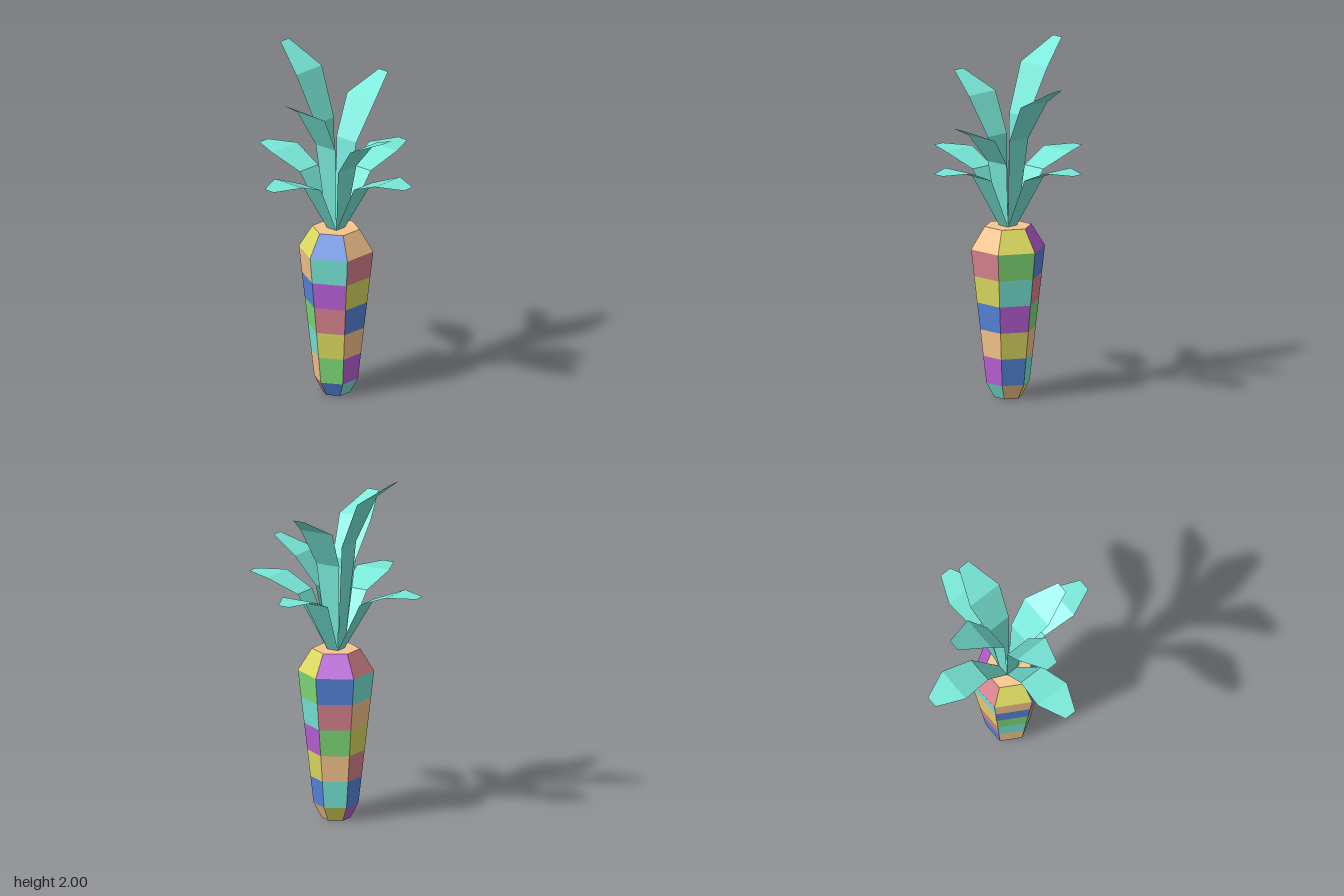
import * as THREE from 'three';

const TEAL = 0x78e8d8;
const COLORS = {
  T: TEAL, O: 0xf8c68c, Y: 0xdedc60, B: 0x5686dc, P: 0xba60d8, G: 0x80dc78, R: 0xd98490,
};

const materials = {};
for (const key in COLORS) {
  materials[key] = new THREE.MeshStandardMaterial({ color: COLORS[key], flatShading: true });
}
const leafMaterial = new THREE.MeshStandardMaterial({
  color: TEAL, flatShading: true, side: THREE.DoubleSide,
});

// Root outline as [radius, height], from the tip up to the shoulder
const RINGS = [
  [0.08, 0], [0.125, 0.085], [0.143, 0.24], [0.16, 0.393],
  [0.178, 0.547], [0.196, 0.7], [0.213, 0.853], [0.135, 0.98],
];

// Patch colours of each of the six sides, bottom to top, starting at the front left side
const PATCHES = ['BGYRPTB', 'TPOBYRO', 'OBYPTGY', 'YTOGRBP', 'PBRYOTR', 'ROTGBOY'];

// Half-widths of a leaf from its base to its tip
const LEAF_HALF_WIDTHS = [0.035, 0.075, 0.105, 0.035];
const LEAF_BASE_Y = 0.98;

function createRoot() {
  const root = new THREE.Group();
  root.name = 'root';
  const step = Math.PI / 3;
  PATCHES.forEach((column, side) => {
    for (let row = 0; row < column.length; row++) {
      const [r0, y0] = RINGS[row];
      const [r1, y1] = RINGS[row + 1];
      const geometry = new THREE.CylinderGeometry(r1, r0, y1 - y0, 1, 1, true, side * step, step);
      const patch = new THREE.Mesh(geometry, materials[column[row]]);
      patch.position.y = (y0 + y1) / 2;
      patch.name = 'rootPatch';
      root.add(patch);
    }
  });

  // Flat ends
  const addCap = (name, [radius, y], tilt) => {
    const cap = new THREE.Mesh(new THREE.CircleGeometry(radius, 6, Math.PI / 2), materials.O);
    cap.rotation.x = tilt;
    cap.position.y = y;
    cap.name = name;
    root.add(cap);
  };
  addCap('rootBottom', RINGS[0], Math.PI / 2);
  addCap('rootTop', RINGS[RINGS.length - 1], -Math.PI / 2);
  return root;
}

// Thin folded strip that leans outward along +z, then is turned about the axis
function createLeaf(name, reach, rise, angle) {
  const positions = [];
  const index = [];
  reach.forEach((z, i) => {
    const w = LEAF_HALF_WIDTHS[i];
    const y = LEAF_BASE_Y + rise[i];
    positions.push(-w, y, z, w, y, z);
    if (i > 0) {
      const a = 2 * (i - 1);
      index.push(a, a + 1, a + 3, a, a + 3, a + 2);
    }
  });
  const geometry = new THREE.BufferGeometry();
  geometry.setAttribute('position', new THREE.Float32BufferAttribute(positions, 3));
  geometry.setIndex(index);
  const flat = geometry.toNonIndexed();
  flat.computeVertexNormals();
  const leaf = new THREE.Mesh(flat, leafMaterial);
  leaf.rotation.y = angle;
  leaf.name = name;
  return leaf;
}

function createLeaves() {
  const leaves = new THREE.Group();
  leaves.name = 'leaves';

  // Heights of the four inner leaves: front, left, back, right
  const innerHeights = [0.83, 0.61, 0.83, 1.02];
  innerHeights.forEach((h, i) => {
    const angle = (i * Math.PI) / 2;
    const rise = [0, 0.605 * h, 0.87 * h, h];
    leaves.add(createLeaf('innerLeaf', [0.035, 0.085, 0.205, 0.39], rise, angle));
    leaves.add(createLeaf('outerLeaf', [0.035, 0.205, 0.39, 0.55], [0, 0.3, 0.375, 0.375], angle));
  });

  // Small square where the leaves meet
  const crown = new THREE.Mesh(new THREE.PlaneGeometry(0.07, 0.07), leafMaterial);
  crown.rotation.x = -Math.PI / 2;
  crown.position.y = LEAF_BASE_Y + 0.003;
  crown.name = 'leafCrown';
  leaves.add(crown);
  return leaves;
}

export function createModel() {
  const model = new THREE.Group();
  model.name = 'carrot';
  model.add(createRoot(), createLeaves());
  return model;
}
